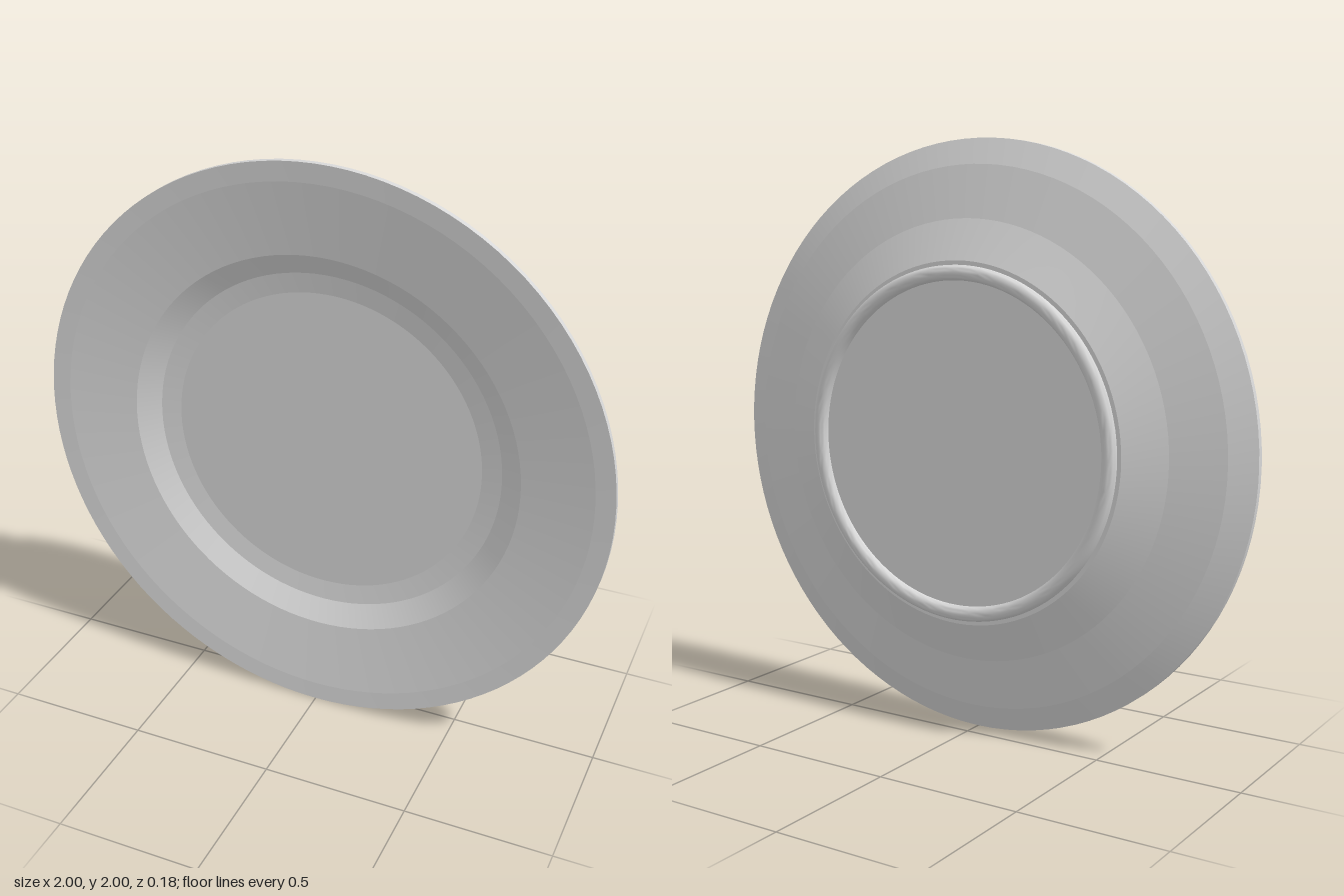
import * as THREE from 'three';
import { toCreasedNormals } from 'three/addons/utils/BufferGeometryUtils.js';

const SEGMENTS = 112;

// Revolve [radius, depth] pairs around z, creasing where the slope changes by more than the given angle
function revolve(profile, crease) {
  const points = profile.map(([r, z]) => new THREE.Vector2(r, z));
  return toCreasedNormals(new THREE.LatheGeometry(points, SEGMENTS), crease).rotateX(Math.PI / 2);
}

export function createModel() {
  const model = new THREE.Group();
  model.name = 'plate';
  const glaze = new THREE.MeshStandardMaterial({ color: 0xd7d7d7 });
  glaze.name = 'grey glaze';

  const add = (name, profile, crease) => {
    const mesh = new THREE.Mesh(revolve(profile, crease), glaze);
    mesh.name = name;
    mesh.position.y = 1;
    model.add(mesh);
  };

  // Underside: flat base, sloping well wall, flared rim
  add('underside', [
    [0, -0.063], [0.605, -0.063], [0.665, -0.038], [0.74, -0.008], [0.915, 0.033], [1, 0.068],
  ], 0.035);

  // Thin outer edge
  add('edge', [[1, 0.068], [1, 0.088]], 0.5);

  // Eating surface: rim lip, broad rim, well wall, floor
  add('dish', [
    [1, 0.088], [0.935, 0.084], [0.69, 0.05], [0.615, 0.006], [0.545, -0.004], [0, -0.004],
  ], 0.035);

  // Rounded foot ring on the back
  const foot = [[0.541, -0.06]];
  for (let i = 0; i <= 10; i++) {
    const a = Math.PI * (1 - i / 10);
    foot.push([0.566 + 0.025 * Math.cos(a), -0.068 - 0.02 * Math.sin(a)]);
  }
  foot.push([0.591, -0.06]);
  add('footRing', foot, 0.8);

  return model;
}
